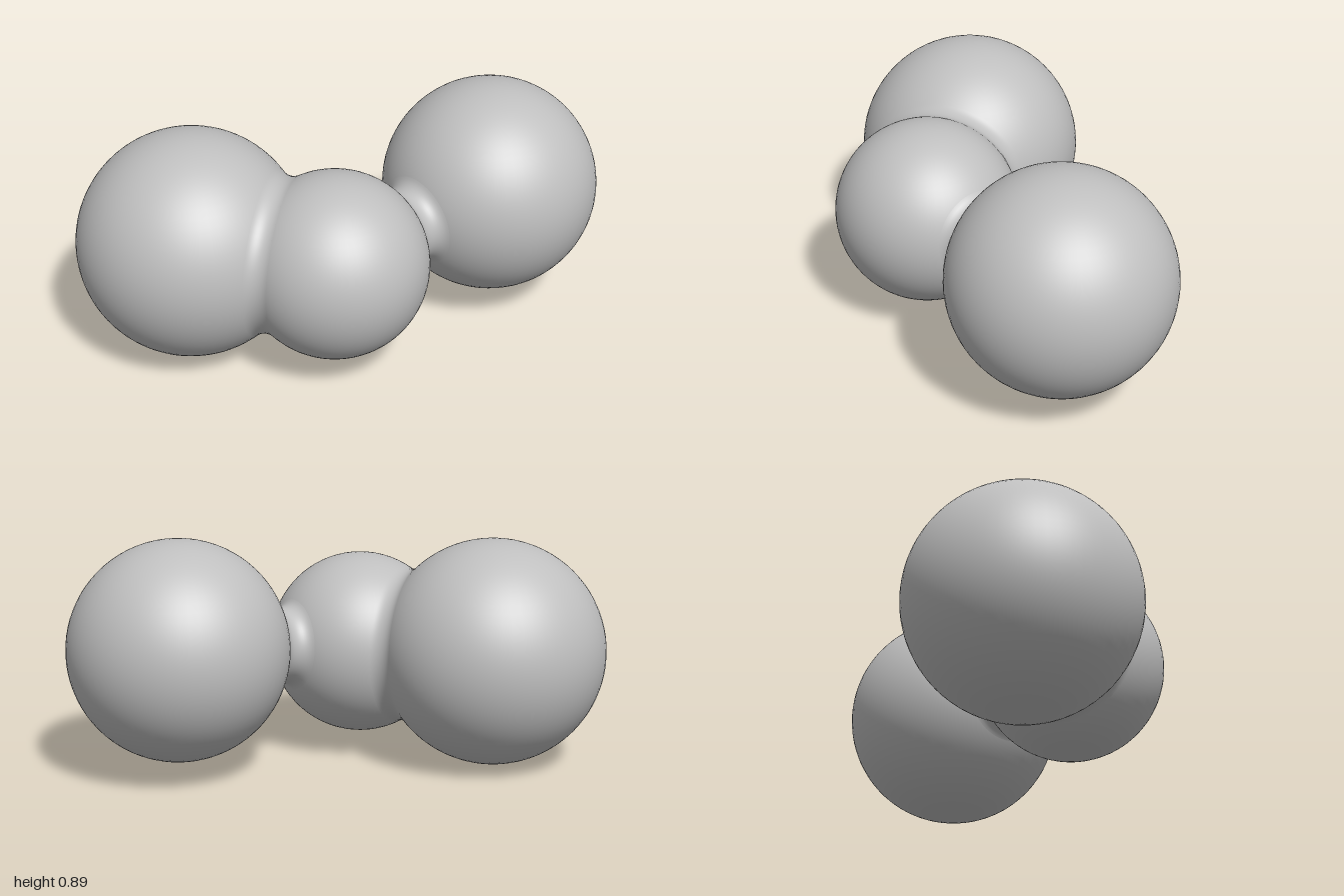
import * as THREE from 'three';

const clay = new THREE.MeshStandardMaterial({ color: 0xbfbfbf });
clay.name = 'grey';

// Three balls, chained right to left
const balls = [
  { name: 'rightBall', centre: new THREE.Vector3(-0.57, 0.43, 0.08), r: 0.43 },
  { name: 'middleBall', centre: new THREE.Vector3(-0.05, 0.415, 0.26), r: 0.35 },
  { name: 'leftBall', centre: new THREE.Vector3(0.585, 0.475, -0.2), r: 0.415 },
];

// Concave neck: a fillet arc of radius f, tangent to both balls, turned about their axis
function makeNeck(name, a, b, f) {
  const axis = b.centre.clone().sub(a.centre);
  const d = axis.length();
  const ra = a.r + f, rb = b.r + f;
  const along = (d * d + ra * ra - rb * rb) / (2 * d);
  const out = Math.sqrt(ra * ra - along * along);
  const start = Math.atan2(-out, -along);
  const end = Math.atan2(-out, d - along);
  const points = [];
  for (let i = 0; i <= 16; i++) {
    const t = start + (end - start) * i / 16;
    points.push(new THREE.Vector2(out + f * Math.sin(t), along + f * Math.cos(t)));
  }
  const neck = new THREE.Mesh(new THREE.LatheGeometry(points, 64), clay);
  neck.name = name;
  neck.position.copy(a.centre);
  neck.quaternion.setFromUnitVectors(new THREE.Vector3(0, 1, 0), axis.normalize());
  return neck;
}

export function createModel() {
  const model = new THREE.Group();
  model.name = 'joinedBalls';
  for (const { name, centre, r } of balls) {
    const ball = new THREE.Mesh(new THREE.SphereGeometry(r, 64, 40), clay);
    ball.name = name;
    ball.position.copy(centre);
    model.add(ball);
  }
  model.add(makeNeck('wideNeck', balls[0], balls[1], 0.07));
  model.add(makeNeck('narrowNeck', balls[1], balls[2], 0.06));
  return model;
}
